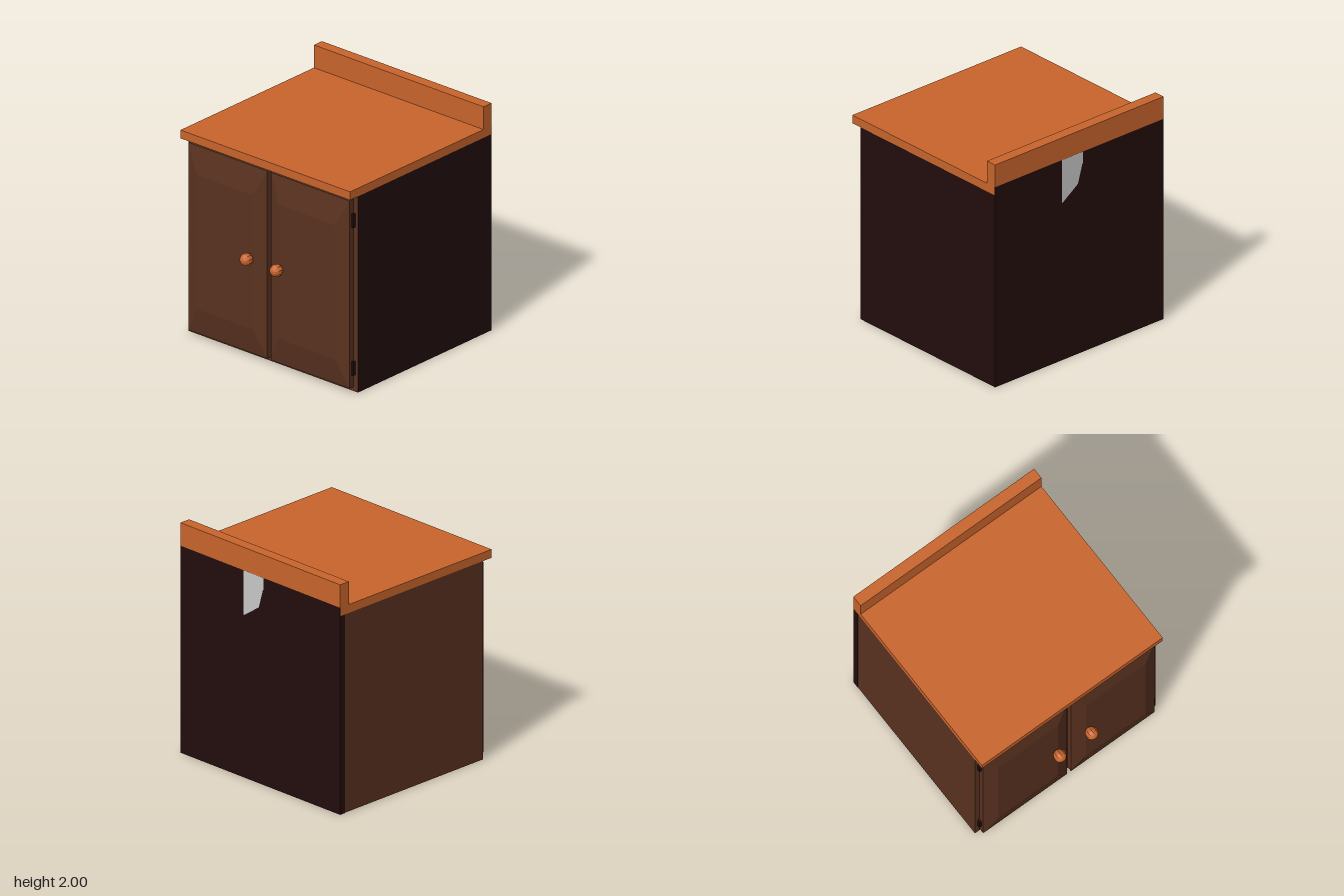
import * as THREE from 'three';

const material = (name, color, extra = {}) => {
  const m = new THREE.MeshStandardMaterial({ color, ...extra });
  m.name = name;
  return m;
};

export function createModel() {
  const orange = material('orange wood', 0xc8642c, { flatShading: true });
  const brown = material('brown wood', 0x5a3220, { flatShading: true });
  const dark = material('dark wood', 0x220d0c);
  const white = material('pale patch', 0xc8c8c8);

  const model = new THREE.Group();
  model.name = 'cabinet';
  const E = 0.907; // half depth and half width

  const add = (name, geometry, mat, parent = model) => {
    const mesh = new THREE.Mesh(geometry, mat);
    mesh.name = name;
    parent.add(mesh);
    return mesh;
  };
  // Box given by its two opposite corners
  const box = (name, x0, x1, y0, y1, z0, z1, mat, parent) => {
    const mesh = add(name, new THREE.BoxGeometry(x1 - x0, y1 - y0, z1 - z0), mat, parent);
    mesh.position.set((x0 + x1) / 2, (y0 + y1) / 2, (z0 + z1) / 2);
    return mesh;
  };
  const outline = (points) => new THREE.ShapeGeometry(
    new THREE.Shape(points.map(([a, b]) => new THREE.Vector2(a, b))));

  // Carcass: dark on the wall side and one flank, brown elsewhere
  box('carcass', -0.71, E - 0.004, 0.002, 1.727, -E + 0.002, E,
    [dark, brown, brown, brown, dark, brown]);
  box('wallPanel', E - 0.004, E, 0, 1.8, -E, E, dark);
  box('sideStrip', 0.85, E, 0, 1.727, -E, -E + 0.004, dark);

  // Worktop with upstand
  box('worktop', -0.805, E - 0.004, 1.727, 1.8, -E, E, orange);
  box('upstand', 0.81, E, 1.8, 2, -E, E, orange);

  // Pale patch on the wall panel
  const patch = add('wallPatch', outline([
    [-0.19, 1.8], [-0.19, 1.415], [-0.18, 1.415], [-0.015, 1.53], [0.03, 1.69], [0.04, 1.7], [0.04, 1.8],
  ]), white);
  patch.rotation.y = Math.PI / 2;
  patch.position.x = E + 0.002;

  // Dark stain on the underside
  const stain = add('undersideStain', outline([
    [0.85, -E], [0.8, -0.54], [0.25, -0.03], [0.17, 0.56], [-0.66, 0.56], [-0.71, 0.6], [-0.71, E], [E, E], [E, -E],
  ]), dark);
  stain.rotation.x = Math.PI / 2;

  // Doors: slab, raised bevelled panel, knob and hinges
  const doorHeight = 1.65, doorWidth = 0.84;
  for (const side of [-1, 1]) {
    const door = new THREE.Group();
    door.name = side < 0 ? 'rearDoor' : 'frontDoor';
    model.add(door);
    const z = side * 0.44, y = 0.865;
    box('doorSlab', -0.76, -0.712, y - doorHeight / 2, y + doorHeight / 2,
      z - doorWidth / 2, z + doorWidth / 2, brown, door);

    // Raised panel: a box whose outer face is scaled in
    const bevel = new THREE.BoxGeometry(0.04, doorHeight, doorWidth);
    const p = bevel.attributes.position;
    for (let i = 0; i < p.count; i++) {
      if (p.getX(i) < 0) p.setXYZ(i, p.getX(i), p.getY(i) * 0.715, p.getZ(i) * 0.715);
    }
    bevel.computeVertexNormals();
    add('doorPanel', bevel, brown, door).position.set(-0.78, y, z);

    const knob = add('knob', new THREE.SphereGeometry(0.055, 10, 8), orange, door);
    knob.rotation.z = Math.PI / 2;
    knob.position.set(-0.852, 0.9, side * 0.16);

    for (const hy of [0.21, 1.51]) {
      const z0 = side * 0.868;
      box('hinge', -0.737, -0.708, hy - 0.06, hy + 0.06, z0 - 0.012, z0 + 0.012, dark, door);
    }
  }
  return model;
}
